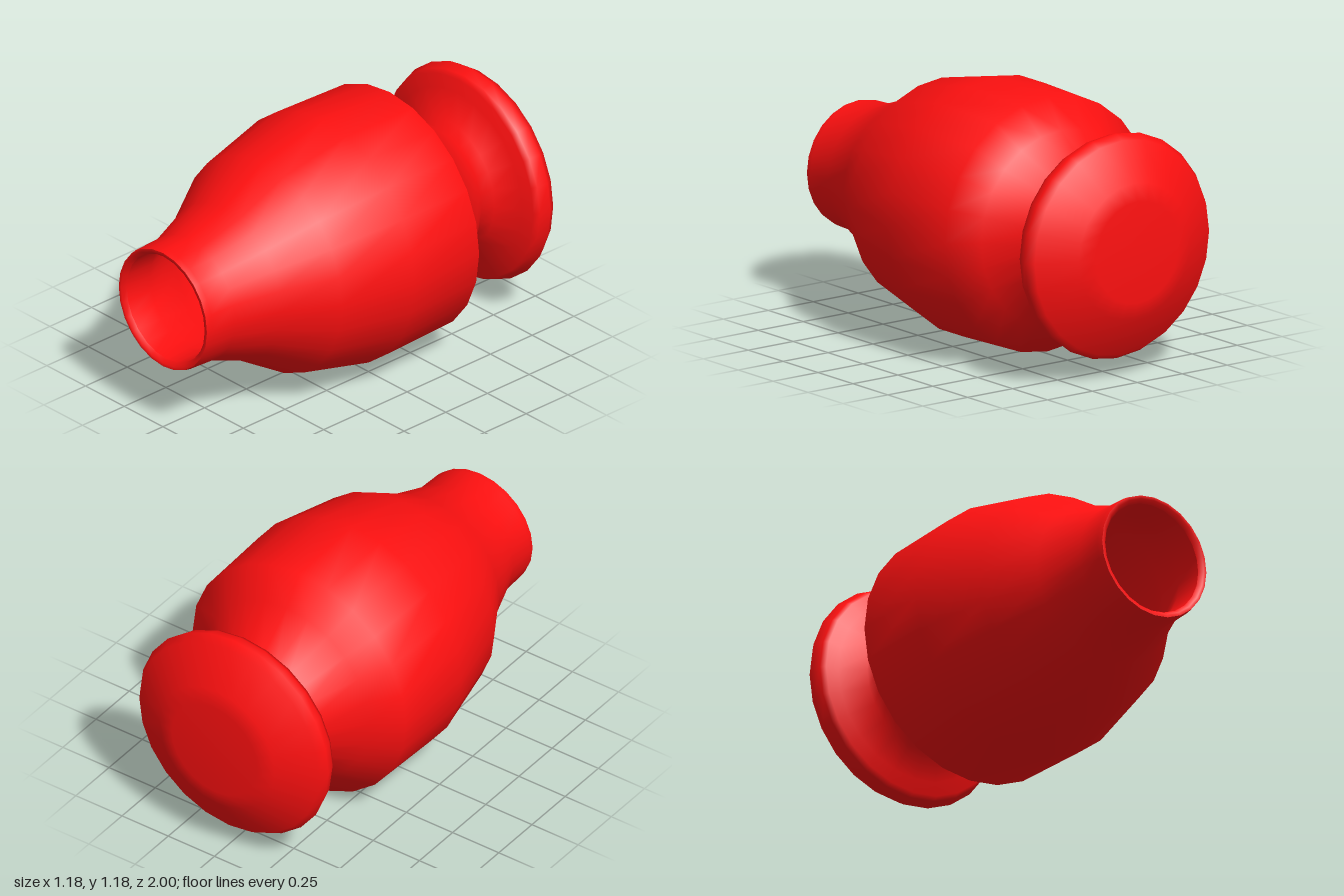
import * as THREE from 'three';

const SIDES = 24;
const AXIS_HEIGHT = 0.59;

// Each pair is [radius, distance along the vase's axis]
const outer = [
  [0, -1], [0.23, -1], [0.31, -0.98], [0.485, -0.89], [0.51, -0.85], [0.495, -0.8],
  [0.48, -0.775], [0.42, -0.765], [0.31, -0.7], [0.285, -0.645], [0.445, -0.455],
  [0.578, -0.36], [0.59, 0.04], [0.51, 0.4], [0.37, 0.63], [0.295, 0.84],
  [0.29, 0.97], [0.285, 1],
];
const lip = [[0.285, 1], [0.27, 1], [0.255, 0.98]];
const inner = [
  [0.255, 0.98], [0.255, 0.84], [0.33, 0.62], [0.47, 0.39], [0.55, 0.04],
  [0.535, -0.33], [0.4, -0.44], [0.24, -0.57], [0.12, -0.6],
];
const floor = [[0.12, -0.6], [0, -0.6]];

export function createModel() {
  const vase = new THREE.Group();
  vase.name = 'vase';
  const material = new THREE.MeshStandardMaterial({ color: 0xff1010 });

  const turned = (name, profile) => {
    const points = profile.map(([r, y]) => new THREE.Vector2(r, y));
    const mesh = new THREE.Mesh(new THREE.LatheGeometry(points, SIDES), material);
    mesh.name = name;
    vase.add(mesh);
  };

  // Foot, neck, belly and collar in one smooth skin
  turned('body', outer);
  // Thin lip and hollow inside
  turned('lip', lip);
  turned('innerWall', inner);
  turned('innerFloor', floor);

  // Lay the vase on its side with the mouth to the front
  vase.rotation.x = Math.PI / 2;
  vase.position.y = AXIS_HEIGHT;
  const model = new THREE.Group();
  model.name = 'lyingVase';
  model.add(vase);
  return model;
}
